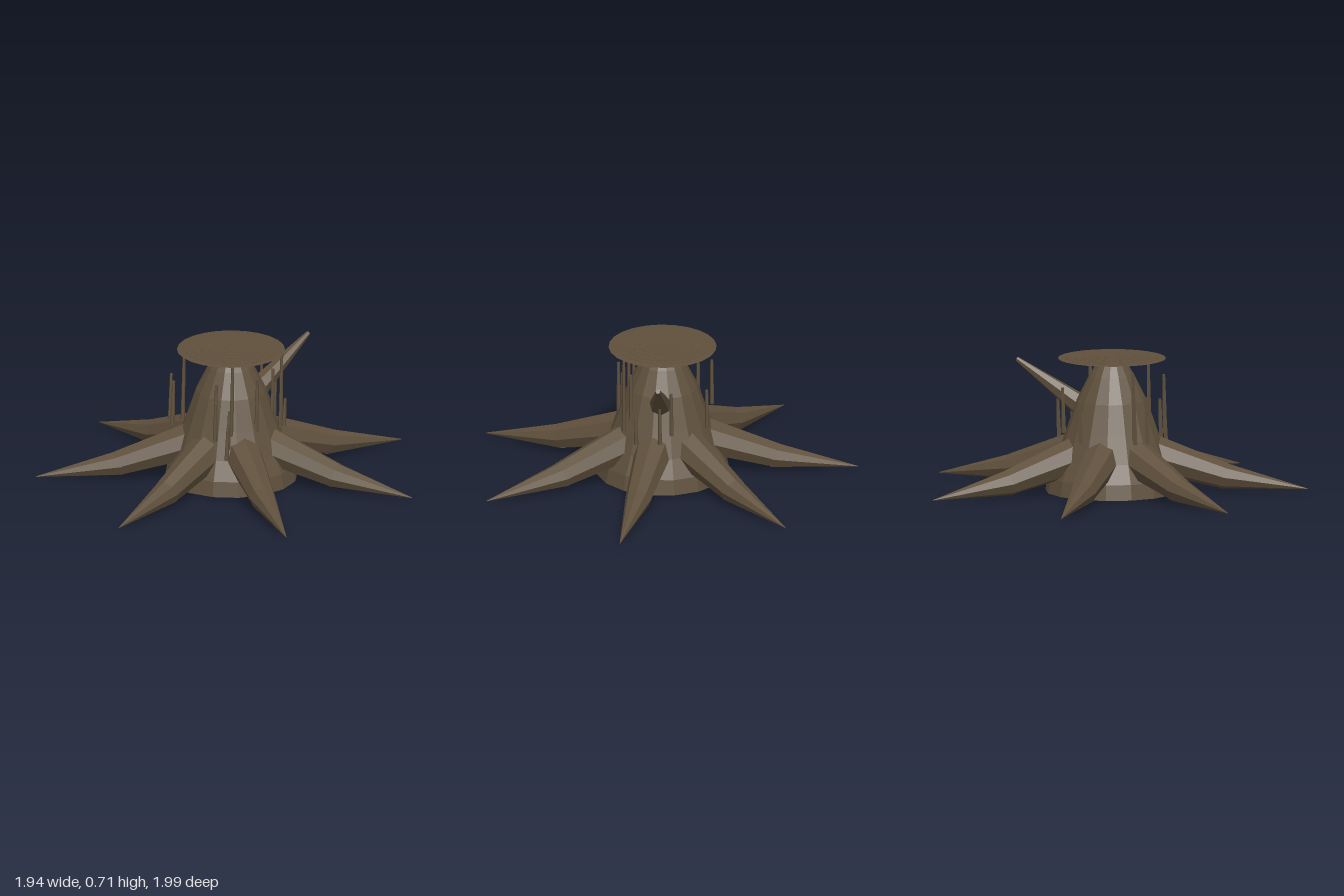
import * as THREE from 'three';

const bark = new THREE.MeshStandardMaterial({ color: 0x5f503c, flatShading: true, side: THREE.DoubleSide });
bark.name = 'bark brown';

// Tapered limb running from point a to point b
function limb(name, a, b, r0, r1, sides, open = true) {
  const from = new THREE.Vector3(...a), to = new THREE.Vector3(...b);
  const dir = to.clone().sub(from);
  const mesh = new THREE.Mesh(new THREE.CylinderGeometry(r1, r0, dir.length(), sides, 1, open), bark);
  mesh.name = name;
  mesh.position.copy(from).add(to).multiplyScalar(0.5);
  mesh.quaternion.setFromUnitVectors(new THREE.Vector3(0, 1, 0), dir.normalize());
  return mesh;
}

function lathe(name, points, sides) {
  const mesh = new THREE.Mesh(
    new THREE.LatheGeometry(points.map(p => new THREE.Vector2(...p)), sides), bark);
  mesh.name = name;
  return mesh;
}

export function createModel() {
  const model = new THREE.Group();
  model.name = 'treeStump';
  const stump = new THREE.Group();
  stump.name = 'stump';
  stump.position.x = -0.05;
  model.add(stump);

  // Hollow trunk, flared at the base
  stump.add(lathe('trunk', [
    [0.35, 0], [0.335, 0.08], [0.29, 0.18], [0.24, 0.32],
    [0.185, 0.48], [0.12, 0.61], [0.06, 0.705],
  ], 16));

  // Cut top with shallow growth ring steps
  const rings = [[0.283, 0.701]];
  for (let i = 0; i < 6; i++) {
    const r = 0.24 - i * 0.04, y = 0.703 + i * 0.0012;
    rings.push([r, y], [r, y + 0.0012]);
  }
  rings.push([0, 0.7102]);
  stump.add(lathe('cutTop', rings, 24));

  // Seven spreading roots, each a thick part and a pointed end
  for (let i = 0; i < 7; i++) {
    const root = new THREE.Group();
    root.name = 'root' + (i + 1);
    root.add(limb('rootBase', [0.1, 0.23, 0], [0.59, 0.08, 0], 0.11, 0.068, 8));
    root.add(limb('rootTip', [0.575, 0.082, 0], [1.022, 0.014, 0], 0.07, 0.002, 8));
    root.rotation.y = i * Math.PI * 2 / 7;
    stump.add(root);
  }

  // Broken side branch
  model.add(limb('branch', [0.11, 0.435, -0.025], [0.465, 0.67, -0.09], 0.06, 0.012, 7, false));

  // Upright bark slivers: x, z, bottom, top
  const slivers = [
    [-0.32, -0.13, 0.29, 0.53], [-0.29, -0.21, 0.29, 0.54], [-0.25, -0.145, 0.3, 0.65],
    [-0.25, 0.2, 0.29, 0.6], [-0.155, 0.205, 0.3, 0.69], [-0.2, 0.25, 0.25, 0.46],
    [-0.22, 0.27, 0.2, 0.38], [-0.02, 0.23, 0.27, 0.6], [0.13, 0.13, 0.3, 0.6],
    [0.165, 0.16, 0.29, 0.69], [0.19, -0.1, 0.3, 0.54], [0.245, -0.05, 0.27, 0.47],
    [0.01, -0.25, 0.28, 0.5], [0.23, 0.08, 0.25, 0.4],
  ];
  for (const [x, z, y0, y1] of slivers) {
    model.add(limb('barkSliver', [x - 0.008, y0, z], [x, y1, z], 0.012, 0.008, 5, false));
  }
  return model;
}
